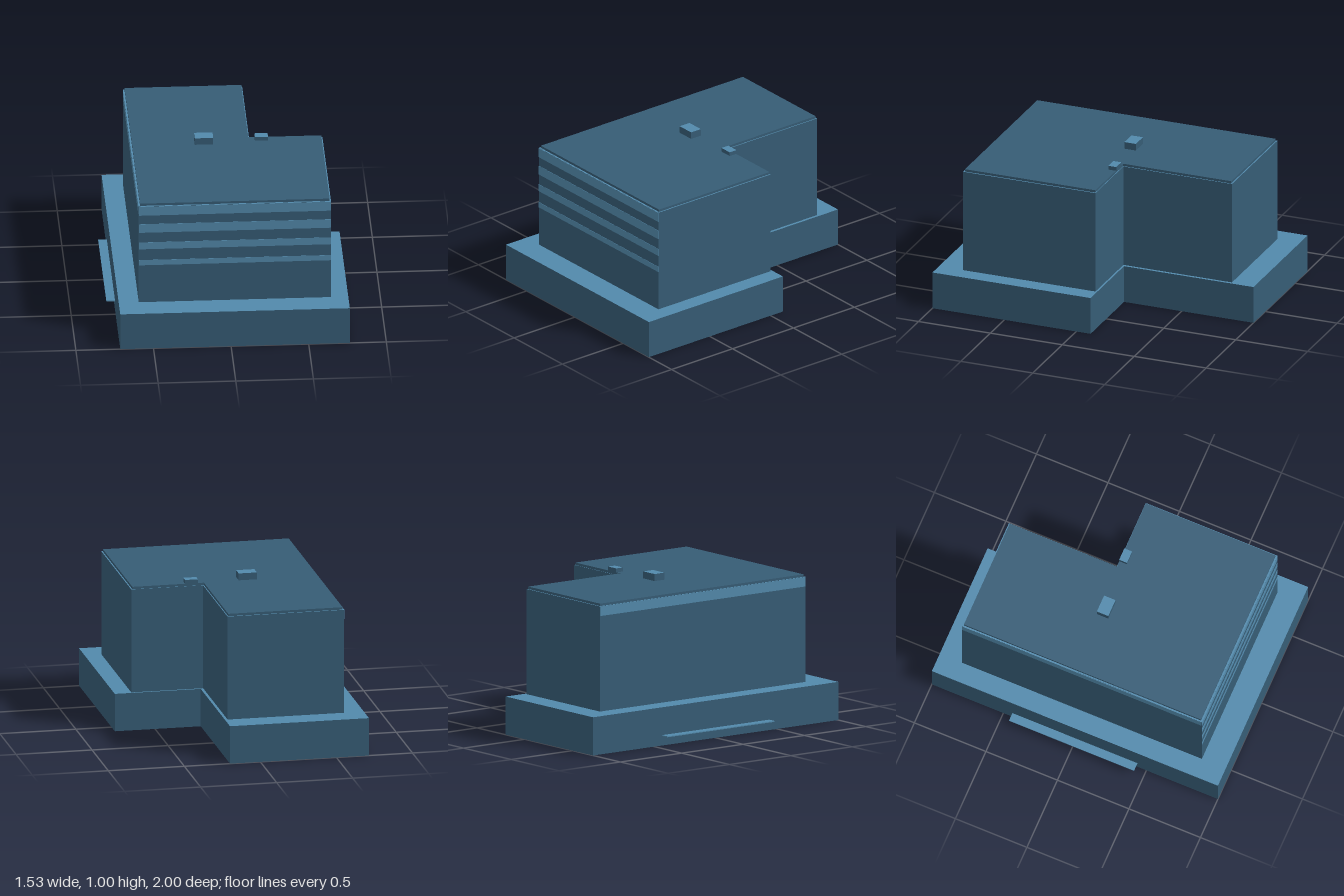
import * as THREE from 'three';

const lightBlue = new THREE.MeshStandardMaterial({ name: 'lightBlue', color: 0x5289ab, side: THREE.DoubleSide });
const darkBlue = new THREE.MeshStandardMaterial({ name: 'darkBlue', color: 0x365c75, side: THREE.DoubleSide });

// L-shaped outline as [x, z] corners, with the notch at the back on +x
const lOutline = (x0, x1, z0, z1, nx, nz) =>
  [[x0, z1], [x1, z1], [x1, nz], [nx, nz], [nx, z0], [x0, z0]];

// Open ring of upright walls along an outline
function wallGeometry(outline, y0, y1) {
  const positions = [], index = [];
  outline.forEach(([ax, az], i) => {
    const [bx, bz] = outline[(i + 1) % outline.length];
    const k = i * 4;
    positions.push(ax, y0, az, bx, y0, bz, bx, y1, bz, ax, y1, az);
    index.push(k, k + 1, k + 2, k, k + 2, k + 3);
  });
  const geometry = new THREE.BufferGeometry();
  geometry.setAttribute('position', new THREE.Float32BufferAttribute(positions, 3));
  geometry.setIndex(index);
  geometry.computeVertexNormals();
  return geometry;
}

// Flat lid over an outline
function lidGeometry(outline, y) {
  const shape = new THREE.Shape(outline.map(([x, z]) => new THREE.Vector2(x, -z)));
  return new THREE.ShapeGeometry(shape).rotateX(-Math.PI / 2).translate(0, y, 0);
}

function addMesh(parent, name, geometry, material) {
  const mesh = new THREE.Mesh(geometry, material);
  mesh.name = name;
  parent.add(mesh);
  return mesh;
}

// Hollow block: walls and a lid, open below
function addBlock(parent, name, outline, y0, y1, lidMaterial) {
  const block = new THREE.Group();
  block.name = name;
  addMesh(block, name + 'Walls', wallGeometry(outline, y0, y1), darkBlue);
  addMesh(block, name + 'Top', lidGeometry(outline, y1), lidMaterial);
  parent.add(block);
}

// Box given by its limits on each axis
function addBox(parent, name, [x0, x1], [y0, y1], [z0, z1], material) {
  const geometry = new THREE.BoxGeometry(x1 - x0, y1 - y0, z1 - z0);
  const mesh = addMesh(parent, name, geometry, material);
  mesh.position.set((x0 + x1) / 2, (y0 + y1) / 2, (z0 + z1) / 2);
}

export function createModel() {
  const model = new THREE.Group();
  model.name = 'officeBuilding';

  // Podium, tower and roof slab
  addBlock(model, 'podium', lOutline(-0.714, 0.765, -1, 1, 0.2, -0.1), 0, 0.25, lightBlue);
  addBlock(model, 'tower', lOutline(-0.585, 0.654, -0.843, 0.833, 0.182, -0.088), 0.25, 0.938, lightBlue);
  addBlock(model, 'roofSlab', lOutline(-0.576, 0.646, -0.835, 0.823, 0.176, -0.084), 0.938, 0.954, darkBlue);

  // Window bands on the front, thinner towards the bottom
  const bands = [[0.873, 0.937], [0.75, 0.811], [0.631, 0.68], [0.516, 0.553]];
  bands.forEach((y, i) =>
    addBox(model, 'frontWindowBand' + (i + 1), [-0.584, 0.653], y, [0.832, 0.835], lightBlue));

  // Single band along the top of the -x side
  addBox(model, 'sideWindowBand', [-0.587, -0.584], [0.875, 0.937], [-0.842, 0.832], lightBlue);

  // Entrance canopy
  addBox(model, 'entranceCanopy', [-0.77, -0.713], [0.062, 0.068], [-0.437, 0.437], lightBlue);

  // Rooftop units with light tops
  const unitMaterials = [darkBlue, darkBlue, lightBlue, darkBlue, darkBlue, darkBlue];
  addBox(model, 'largeRoofUnit', [-0.174, -0.055], [0.953, 1], [-0.077, 0.003], unitMaterials);
  addBox(model, 'smallRoofUnit', [0.215, 0.3], [0.953, 0.98], [-0.087, -0.032], unitMaterials);

  return model;
}
